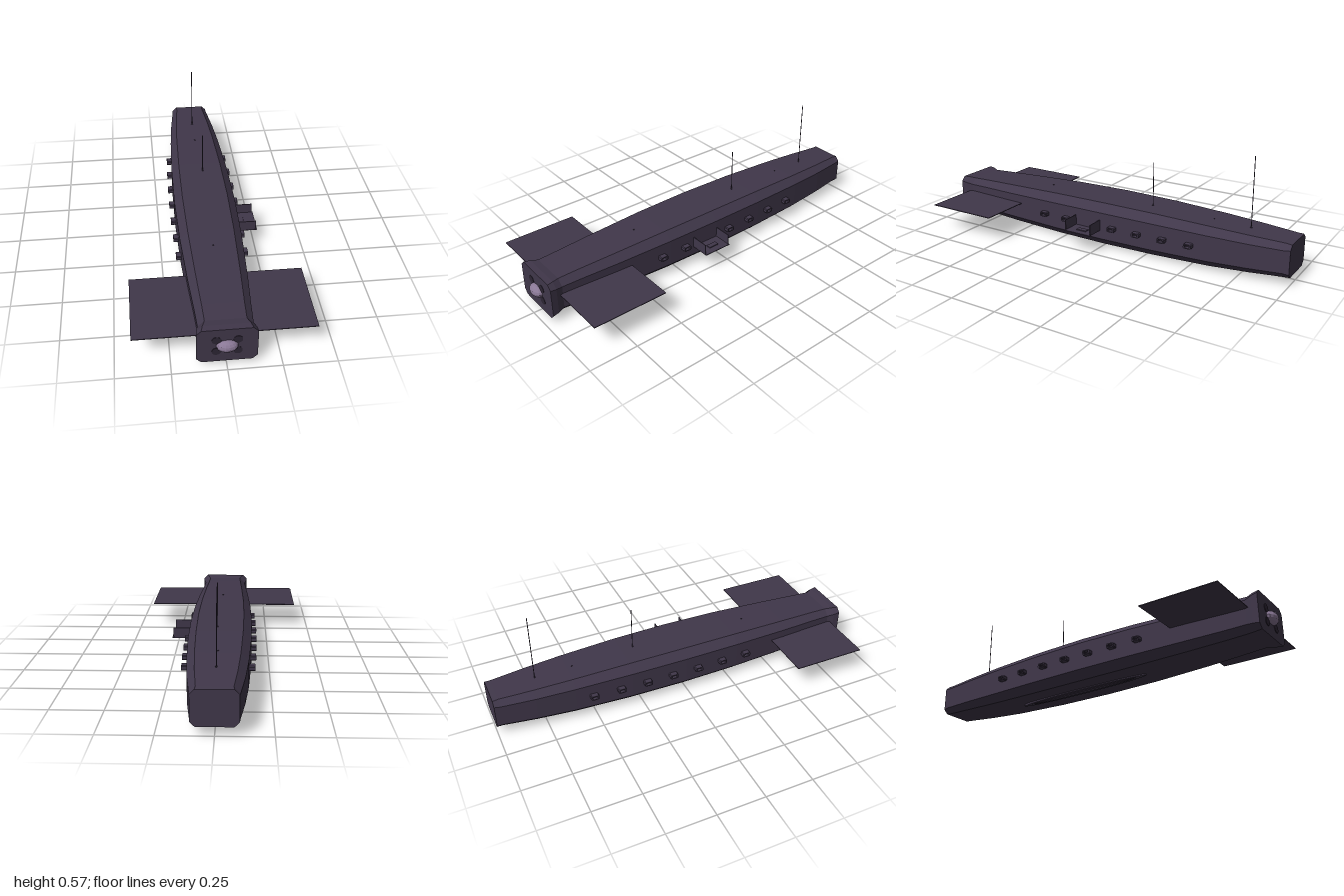
import * as THREE from 'three';

const mat = (color, extra = {}) => new THREE.MeshStandardMaterial({ color, flatShading: true, ...extra });
const hullMat = mat(0x40374a);
const darkMat = mat(0x2c2533);
const domeMat = mat(0x8a7896);
const thinMat = mat(0x40374a, { side: THREE.DoubleSide });

// Hull stations: z, half width, bottom, top, corner cut
const stations = [
  [-1, 0.104, 0.041, 0.206, 0.022],
  [-0.97, 0.107, 0.038, 0.208, 0.028],
  [-0.8, 0.127, 0.027, 0.215, 0.033],
  [-0.6, 0.143, 0.017, 0.223, 0.037],
  [-0.3, 0.157, 0.01, 0.232, 0.041],
  [0, 0.162, 0.008, 0.235, 0.042],
  [0.3, 0.157, 0.01, 0.232, 0.041],
  [0.6, 0.143, 0.017, 0.223, 0.037],
  [0.8, 0.13, 0.025, 0.216, 0.033],
  [0.9, 0.125, 0.03, 0.212, 0.031],
  [0.935, 0.135, 0.026, 0.217, 0.028],
  [0.967, 0.138, 0.025, 0.218, 0.023],
];

function hullAt(z) {
  let i = 0;
  while (i < stations.length - 2 && z > stations[i + 1][0]) i++;
  const a = stations[i], b = stations[i + 1], t = (z - a[0]) / (b[0] - a[0]);
  const [, halfWidth, bottom, top] = a.map((v, k) => v + (b[k] - v) * t);
  return { halfWidth, bottom, top };
}

function hullGeometry() {
  const rings = stations.map(([z, w, b, t, c]) => [
    [-w + c, b, z], [w - c, b, z], [w, b + c, z], [w, t - c, z],
    [w - c, t, z], [-w + c, t, z], [-w, t - c, z], [-w, b + c, z],
  ]);
  const pos = [];
  const tri = (...pts) => pts.forEach((p) => pos.push(...p));
  for (let i = 0; i < rings.length - 1; i++) {
    for (let j = 0; j < 8; j++) {
      const k = (j + 1) % 8, r = rings[i], s = rings[i + 1];
      tri(r[j], r[k], s[k]);
      tri(r[j], s[k], s[j]);
    }
  }
  const back = rings[0], front = rings[rings.length - 1];
  for (let j = 1; j < 7; j++) {
    tri(back[0], back[j + 1], back[j]);
    tri(front[0], front[j], front[j + 1]);
  }
  const g = new THREE.BufferGeometry();
  g.setAttribute('position', new THREE.Float32BufferAttribute(pos, 3));
  g.computeVertexNormals();
  return g;
}

// Rectangle outline with cut corners
function cutRect(Type, w, h, c) {
  return new Type([
    [-w + c, -h], [w - c, -h], [w, -h + c], [w, h - c],
    [w - c, h], [-w + c, h], [-w, h - c], [-w, -h + c],
  ].map(([x, y]) => new THREE.Vector2(x, y)));
}

export function createModel() {
  const model = new THREE.Group();
  const add = (name, geometry, material, x = 0, y = 0, z = 0, parent = model) => {
    const m = new THREE.Mesh(geometry, material);
    m.name = name;
    m.position.set(x, y, z);
    parent.add(m);
    return m;
  };
  const box = (w, h, d) => new THREE.BoxGeometry(w, h, d);

  add('hull', hullGeometry(), hullMat);

  // Side fins
  for (const s of [-1, 1]) add('fin', box(0.3, 0.004, 0.39), hullMat, s * 0.27, 0.141, 0.72);

  // Faceted nose dome and four round ports
  add('noseDome', new THREE.SphereGeometry(1, 14, 8).scale(0.05, 0.031, 0.033), domeMat, 0, 0.122, 0.967);
  for (const x of [-0.048, 0.048]) {
    for (const y of [0.088, 0.155]) {
      add('nosePort', new THREE.CylinderGeometry(0.021, 0.021, 0.004, 20).rotateX(Math.PI / 2), darkMat, x, y, 0.967);
    }
  }

  // Protruding window frames; the left side leaves a gap for the balcony
  const frameShape = cutRect(THREE.Shape, 0.021, 0.012, 0.004);
  frameShape.holes.push(cutRect(THREE.Path, 0.014, 0.007, 0.002));
  const frameGeo = new THREE.ExtrudeGeometry(frameShape, { depth: 0.04, bevelEnabled: false });
  for (const s of [-1, 1]) {
    for (let i = 0; i < 7; i++) {
      if (s === 1 && i === 2) continue;
      const z = 0.352 - i * 0.1435;
      const w = hullAt(z).halfWidth;
      const win = new THREE.Group();
      win.name = 'window';
      win.position.set(s * (w - 0.014), 0.121, z);
      win.rotation.y = s * Math.PI / 2;
      add('windowFrame', frameGeo, hullMat, 0, 0, 0, win);
      add('windowPane', box(0.03, 0.016, 0.004), darkMat, 0, 0, 0.018, win);
      model.add(win);
    }
  }

  // Balcony: floor, two end walls and a floor hatch
  const balcony = new THREE.Group();
  balcony.name = 'balcony';
  add('balconyFloor', box(0.112, 0.004, 0.155), thinMat, 0.206, 0.098, 0.075, balcony);
  for (const z of [0, 0.15]) add('balconyWall', box(0.105, 0.054, 0.004), thinMat, 0.2025, 0.127, z, balcony);
  add('balconyHatch', box(0.026, 0.006, 0.056), hullMat, 0.214, 0.102, 0.072, balcony);
  model.add(balcony);

  // Masts with small feet
  for (const [x, z, top] of [[0, -0.765, 0.574], [0.012, -0.232, 0.46]]) {
    const y = hullAt(z).top;
    add('mast', new THREE.CylinderGeometry(0.002, 0.002, top - y + 0.01, 8), hullMat, x, (top + y - 0.01) / 2, z);
    add('mastFoot', new THREE.CylinderGeometry(0.005, 0.006, 0.004, 10), darkMat, x, y, z);
  }

  // Deck studs
  for (const z of [-0.57, 0.41]) {
    add('deckStud', new THREE.CylinderGeometry(0.004, 0.005, 0.004, 10), darkMat, 0, hullAt(z).top, z);
  }

  // Long slim keel blister in two steps
  add('keelPlate', new THREE.CylinderGeometry(1, 1, 0.012, 32).scale(0.03, 1, 0.39), hullMat, 0, 0.0095, -0.09);
  add('keelRidge', new THREE.CylinderGeometry(1, 0.85, 0.005, 32).scale(0.014, 1, 0.36), hullMat, 0, 0.0025, -0.09);

  return model;
}
